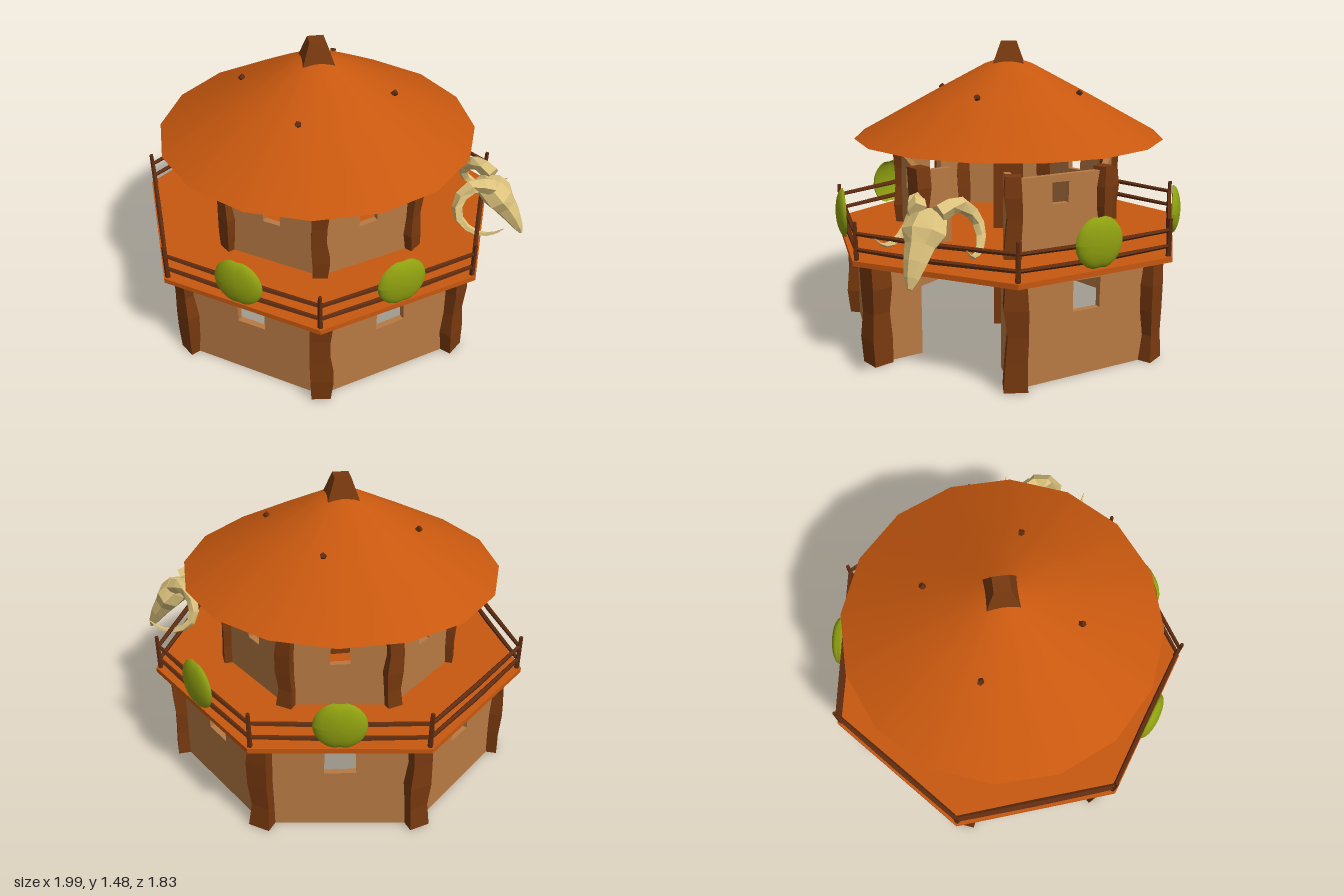
import * as THREE from 'three';

const mat = (name, color, side = THREE.FrontSide) => {
  const m = new THREE.MeshStandardMaterial({ color, side });
  m.name = name;
  return m;
};
const V = (x, y, z) => new THREE.Vector3(x, y, z);
const flat = (g) => {
  const f = g.index ? g.toNonIndexed() : g;
  f.computeVertexNormals();
  return f;
};

export function createModel() {
  const model = new THREE.Group();
  model.name = 'roundHut';
  const hut = new THREE.Group();
  hut.name = 'hut';
  hut.position.x = -0.06;
  model.add(hut);

  const clay = mat('clay', 0xb87a43);
  const timber = mat('timber', 0x78390f);
  const darkWood = mat('dark wood', 0x602c10);
  const orange = mat('orange thatch', 0xc8580f, THREE.DoubleSide);
  const green = mat('shield green', 0x8fa010, THREE.DoubleSide);
  const bone = mat('bone', 0xdcc27c, THREE.DoubleSide);

  const add = (name, geo, m, parent = hut) => {
    const mesh = new THREE.Mesh(geo, m);
    mesh.name = name;
    parent.add(mesh);
    return mesh;
  };
  const rod = (name, a, b, r0, r1, m) => {
    const mesh = add(name, flat(new THREE.CylinderGeometry(r1, r0, a.distanceTo(b), 5)), m);
    mesh.position.copy(a).lerp(b, 0.5);
    mesh.quaternion.setFromUnitVectors(V(0, 1, 0), b.clone().sub(a).normalize());
    return mesh;
  };

  // Seven-sided plan: corner 0 points to -x, side 3 is the doorway on +x
  const N = 7, DOOR = 3, step = (Math.PI * 2) / N;
  const angle = (i) => Math.PI - i * step;
  const at = (a, r, y = 0) => V(Math.cos(a) * r, y, Math.sin(a) * r);

  // Rough-hewn square post with a slight wobble along its height
  const post = (i, r, w, y0, y1) => {
    const g = new THREE.BoxGeometry(w, y1 - y0, w, 1, 4, 1);
    const p = g.attributes.position;
    for (let k = 0; k < p.count; k++) {
      const t = p.getY(k) / (y1 - y0);
      const s = 1 + 0.1 * Math.cos(t * 9 + i);
      p.setX(k, p.getX(k) * s + 0.006 * Math.sin(t * 8 + i * 2));
      p.setZ(k, p.getZ(k) * s);
    }
    const mesh = add('post', flat(g), timber);
    mesh.position.copy(at(angle(i), r, (y0 + y1) / 2));
    mesh.rotation.y = Math.PI / 2 - angle(i);
  };

  // Wall panel with a slightly crooked window hole
  const wall = (i, r, y0, y1, w, wy0, wy1) => {
    const half = r * Math.sin(step / 2), t = 0.03;
    const s = new THREE.Shape([[-half, y0], [half, y0], [half, y1], [-half, y1]]
      .map(([x, y]) => new THREE.Vector2(x, y)));
    const k = 0.006 * Math.sin(i * 2 + 1);
    s.holes.push(new THREE.Path([[-w, wy0 + k], [-w - k, wy1], [w, wy1 - k], [w - k, wy0]]
      .map(([x, y]) => new THREE.Vector2(x, y))));
    const g = new THREE.ExtrudeGeometry(s, { depth: t, bevelEnabled: false });
    g.translate(0, 0, -t / 2);
    const m = angle(i) - step / 2;
    const mesh = add('wall', g, clay);
    mesh.position.copy(at(m, r * Math.cos(step / 2)));
    mesh.rotation.y = Math.PI / 2 - m;
  };

  // Door cheek running inward from a door post
  const cheek = (a, b, y0, y1) => {
    const d = b.clone().sub(a);
    const mesh = add('doorCheek', new THREE.BoxGeometry(d.length(), y1 - y0, 0.03), clay);
    mesh.position.copy(a).lerp(b, 0.5).setY((y0 + y1) / 2);
    mesh.rotation.y = Math.atan2(-d.z, d.x);
  };

  // Two storeys
  for (let i = 0; i < N; i++) {
    post(i, 0.82, 0.1, 0, 0.505);
    post(i, 0.56, 0.076, 0.52, 0.91);
    if (i === DOOR) continue;
    wall(i, 0.82, 0, 0.503, 0.072, 0.31, 0.458);
    wall(i, 0.56, 0.52, 0.893, 0.045, 0.755, 0.86);
  }
  for (const s of [-1, 1]) {
    cheek(V(0.74, 0, s * 0.35), V(0.56, 0, s * 0.22), 0, 0.503);
    cheek(V(0.5, 0, s * 0.24), V(0.37, 0, s * 0.15), 0.52, 0.893);
  }

  // Deck and railing
  const deck = add('deck', flat(new THREE.CylinderGeometry(0.94, 0.94, 0.025, N, 1, false, -Math.PI / 2)), orange);
  deck.position.y = 0.5125;
  for (let i = 0; i < N; i++) {
    const a = angle(i), b = angle(i + 1);
    rod('railPost', at(a, 0.918, 0.52), at(a, 0.922, 0.705), 0.013, 0.01, darkWood);
    for (const y of [0.575, 0.65]) {
      const mid = at((a + b) / 2, 0.918 * Math.cos(step / 2), y - 0.008);
      rod('rail', at(a, 0.918, y), mid, 0.01, 0.013, darkWood);
      rod('rail', mid, at(b, 0.918, y), 0.013, 0.01, darkWood);
    }
  }

  // Domed shields hung on four railing sides, notched at top and bottom
  const shieldGeo = new THREE.SphereGeometry(1, 24, 8, 0, Math.PI * 2, 0, Math.PI / 2);
  shieldGeo.rotateX(Math.PI / 2);
  const sp = shieldGeo.attributes.position;
  for (let k = 0; k < sp.count; k++) {
    const x = sp.getX(k), y = sp.getY(k);
    const notch = 1 - 0.07 * Math.exp(-x * x * 40) * Math.abs(y);
    sp.setXYZ(k, x * 0.122, y * 0.122 * notch, sp.getZ(k) * 0.042);
  }
  shieldGeo.computeVertexNormals();
  for (const i of [1, 2, 4, 5]) {
    const m = angle(i) - step / 2;
    const shield = add('shield', shieldGeo, green);
    shield.position.copy(at(m, 0.84, 0.65));
    shield.rotation.y = Math.PI / 2 - m;
  }

  // Central pillar with tapered cap, cone roof and struts that poke through it
  const core = new THREE.Group();
  core.name = 'roofAndPillar';
  core.position.x = -0.01;
  hut.add(core);
  const turn = Math.PI * 0.37;
  const pillar = add('pillar', flat(new THREE.CylinderGeometry(0.105, 0.105, 1.37, 4, 1, false, turn)), timber, core);
  pillar.position.y = 0.685;
  const cap = add('pillarCap', flat(new THREE.CylinderGeometry(0.055, 0.108, 0.107, 4, 1, false, turn)), timber, core);
  cap.position.y = 1.422;
  const roofProfile = [[0.78, 1.005], [0.4, 1.215], [0.12, 1.365], [0.03, 1.395]]
    .map(([x, y]) => new THREE.Vector2(x, y));
  add('roof', new THREE.LatheGeometry(roofProfile, 16, Math.PI / 16), orange, core);
  for (let k = 0; k < 4; k++) {
    const a = (k * Math.PI) / 2;
    core.add(rod('strut', at(a, 0.07, 0.92), at(a, 0.385, 1.24), 0.015, 0.015, darkWood));
  }

  // Loft through rings of equal size, closed at both ends
  const loft = (rings) => {
    const pos = [], n = rings[0].length;
    const tri = (...pts) => pts.forEach((q) => pos.push(q.x, q.y, q.z));
    for (let r = 0; r + 1 < rings.length; r++) {
      for (let k = 0; k < n; k++) {
        const l = (k + 1) % n, A = rings[r], B = rings[r + 1];
        tri(A[k], A[l], B[l]);
        tri(A[k], B[l], B[k]);
      }
    }
    for (const E of [rings[0], rings[rings.length - 1]]) {
      for (let k = 1; k + 1 < n; k++) tri(E[0], E[k], E[k + 1]);
    }
    const g = new THREE.BufferGeometry();
    g.setAttribute('position', new THREE.Float32BufferAttribute(pos, 3));
    g.computeVertexNormals();
    return g;
  };
  const ring = (c, u, v, n) => Array.from({ length: n }, (_, k) => {
    const a = ((k + 0.5) / n) * Math.PI * 2;
    return c.clone().addScaledVector(u, Math.cos(a)).addScaledVector(v, Math.sin(a));
  });

  // Horned skull over the doorway: x, y, half width, half depth
  const skull = new THREE.Group();
  skull.name = 'hornedSkull';
  model.add(skull);
  const brow = V(0.8, 0.6, 0);
  const sections = [[0.75, 0.79, 0.05, 0.04], [0.8, 0.77, 0.085, 0.07], [0.85, 0.72, 0.105, 0.075],
    [0.885, 0.67, 0.07, 0.06], [0.93, 0.61, 0.055, 0.045], [0.965, 0.55, 0.035, 0.028], [0.985, 0.51, 0.012, 0.01]];
  add('skull', loft(sections.map(([x, y, w, d]) =>
    ring(V(x, y, 0), V(0, 0, w), brow.clone().multiplyScalar(d), 7))), bone, skull);
  for (const s of [-1, 1]) {
    const curve = new THREE.CatmullRomCurve3([[0.81, 0.8, 0.05], [0.73, 0.83, 0.1], [0.665, 0.77, 0.15],
      [0.675, 0.68, 0.185], [0.75, 0.63, 0.205], [0.83, 0.635, 0.215], [0.89, 0.68, 0.22]]
      .map(([x, y, z]) => V(x, y, z * s)));
    const rings = [];
    for (let k = 0; k <= 10; k++) {
      const t = k / 10, r = 0.042 * (1 - t) + 0.002;
      const tan = curve.getTangent(t);
      const u = V(0, 0, 1).cross(tan).normalize();
      const v = tan.clone().cross(u).normalize();
      rings.push(ring(curve.getPoint(t), u.multiplyScalar(r), v.multiplyScalar(r), 5));
    }
    add('horn', loft(rings), bone, skull);
  }
  return model;
}
